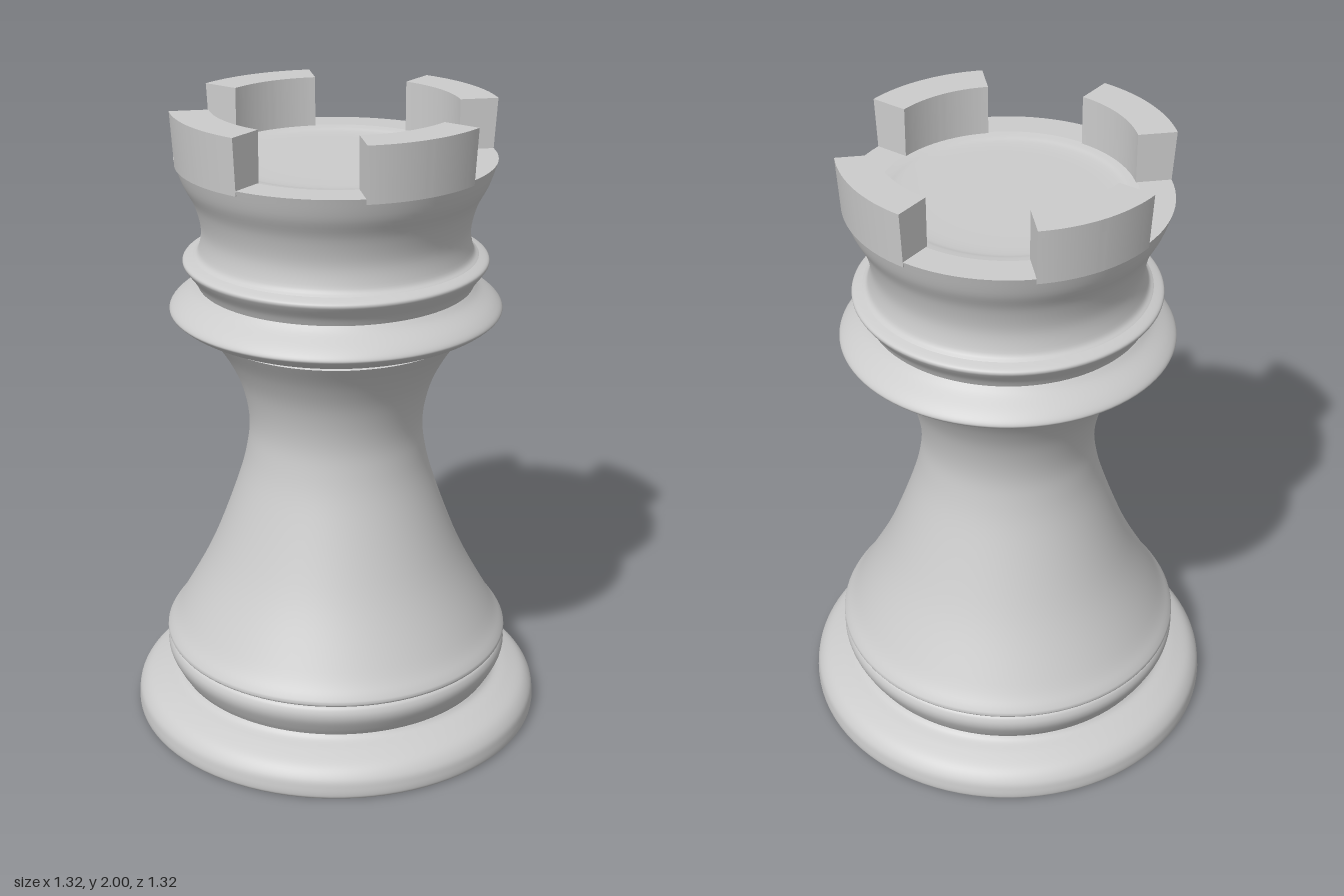
import * as THREE from 'three';
import { toCreasedNormals } from 'three/addons/utils/BufferGeometryUtils.js';

const material = new THREE.MeshStandardMaterial({ color: 0xcccccc });

// Turned part: each run of [radius, height] points is a smooth curve, with a crease between runs
function turned(name, ...runs) {
  const part = new THREE.Group();
  part.name = name;
  for (const run of runs) {
    const points = run.map(([r, y]) => new THREE.Vector2(r, y));
    const profile = points.length > 2
      ? new THREE.SplineCurve(points).getPoints((points.length - 1) * 5)
      : points;
    const mesh = new THREE.Mesh(new THREE.LatheGeometry(profile, 96), material);
    mesh.name = name + 'Surface';
    part.add(mesh);
  }
  return part;
}

// Battlement block: a ring sector whose outer wall flares slightly towards the top
function merlonGeometry() {
  const floor = 1.83, top = 2, inner = 0.38, outer = 0.497, half = 0.39;
  const shape = new THREE.Shape();
  shape.absarc(0, 0, outer, -half, half, false);
  shape.absarc(0, 0, inner, half, -half, true);
  shape.closePath();
  const geometry = new THREE.ExtrudeGeometry(shape, {
    depth: top - floor, bevelEnabled: false, curveSegments: 20,
  });
  geometry.rotateX(-Math.PI / 2).translate(0, floor, 0);
  const p = geometry.attributes.position;
  for (let i = 0; i < p.count; i++) {
    const r = Math.hypot(p.getX(i), p.getZ(i));
    if (r > 0.45 && p.getY(i) < 1.9) {
      const s = 0.486 / r;
      p.setX(i, p.getX(i) * s);
      p.setZ(i, p.getZ(i) * s);
    }
  }
  return toCreasedNormals(geometry, 0.5);
}

export function createModel() {
  const model = new THREE.Group();
  model.name = 'rook';

  // Wide foot with a rounded shoulder
  model.add(turned('base',
    [[0, 0], [0.652, 0]],
    [[0.652, 0], [0.659, 0.01], [0.659, 0.035], [0.652, 0.065], [0.625, 0.095], [0.575, 0.118], [0.535, 0.132], [0.52, 0.145]]));

  // Bead between foot and body
  model.add(turned('lowerRing',
    [[0.52, 0.145], [0.535, 0.17], [0.552, 0.205], [0.556, 0.23], [0.55, 0.25], [0.54, 0.259]]));

  // Waisted body
  model.add(turned('body',
    [[0.54, 0.259], [0.553, 0.265], [0.556, 0.275], [0.548, 0.292], [0.505, 0.357], [0.405, 0.547], [0.315, 0.785],
      [0.281, 0.92], [0.276, 1.02], [0.3, 1.13], [0.345, 1.225], [0.402, 1.308]],
    [[0.402, 1.308], [0.385, 1.316]]));

  // Double collar
  model.add(turned('collar',
    [[0.385, 1.316], [0.42, 1.322], [0.47, 1.342], [0.508, 1.368], [0.513, 1.383], [0.49, 1.406], [0.445, 1.436], [0.425, 1.455]],
    [[0.425, 1.455], [0.438, 1.48], [0.462, 1.512], [0.47, 1.527], [0.463, 1.537], [0.437, 1.546]]));

  // Flared crown with a shallow dished floor
  model.add(turned('crown',
    [[0.437, 1.546], [0.42, 1.565], [0.411, 1.63], [0.43, 1.71], [0.465, 1.78], [0.487, 1.846]],
    [[0.487, 1.846], [0.385, 1.846]],
    [[0.385, 1.846], [0.36, 1.842], [0.33, 1.836], [0.25, 1.833], [0, 1.833]]));

  // Four battlements
  const merlon = merlonGeometry();
  for (let i = 0; i < 4; i++) {
    const mesh = new THREE.Mesh(merlon, material);
    mesh.name = 'merlon' + (i + 1);
    mesh.rotation.y = i * Math.PI / 2;
    model.add(mesh);
  }
  return model;
}
